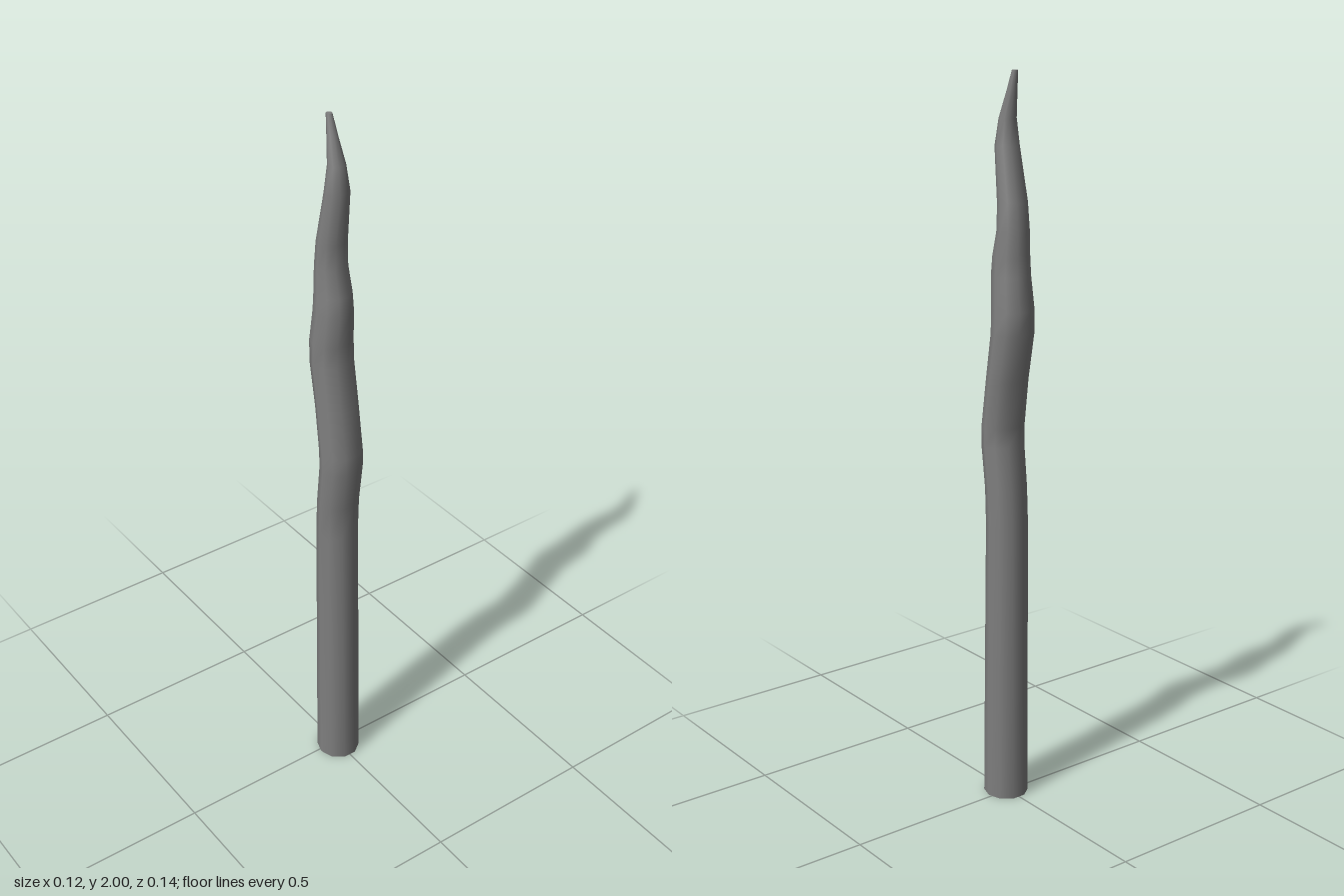
import * as THREE from 'three';

export function createModel() {
  const group = new THREE.Group();
  const sides = 10;
  // cross-sections: height, centre z, half width x, half depth z
  const rings = [
    [0, 0.01, 0.061, 0.063],
    [0.4, 0.008, 0.061, 0.056],
    [0.8, 0.005, 0.06, 0.051],
    [0.9, 0.009, 0.06, 0.05],
    [1.02, 0.023, 0.061, 0.051],
    [1.07, 0.022, 0.061, 0.051],
    [1.2, 0.004, 0.061, 0.048],
    [1.33, -0.019, 0.06, 0.052],
    [1.39, -0.02, 0.058, 0.054],
    [1.48, -0.012, 0.052, 0.052],
    [1.53, -0.013, 0.049, 0.049],
    [1.6, -0.021, 0.044, 0.04],
    [1.67, -0.018, 0.041, 0.037],
    [1.81, 0.004, 0.034, 0.029],
    [1.88, 0.002, 0.024, 0.021],
    [1.95, -0.016, 0.014, 0.013],
    [2, -0.028, 0.008, 0.008],
  ];

  // wavy tapering shaft, open at the base
  const shaft = new THREE.CylinderGeometry(1, 1, 1, sides, rings.length - 1, true);
  const pos = shaft.attributes.position;
  for (let i = 0; i < pos.count; i++) {
    const ring = rings.length - 1 - Math.floor(i / (sides + 1));
    const angle = ((i % (sides + 1)) / sides) * Math.PI * 2;
    const [y, cz, rx, rz] = rings[ring];
    pos.setXYZ(i, rx * Math.cos(angle), y, cz - rz * Math.sin(angle));
  }
  shaft.computeVertexNormals();
  // match normals across the seam
  const n = shaft.attributes.normal;
  for (let r = 0; r < rings.length; r++) {
    const a = r * (sides + 1), b = a + sides;
    const v = new THREE.Vector3().fromBufferAttribute(n, a)
      .add(new THREE.Vector3().fromBufferAttribute(n, b)).normalize();
    n.setXYZ(a, v.x, v.y, v.z);
    n.setXYZ(b, v.x, v.y, v.z);
  }

  const material = new THREE.MeshStandardMaterial({ color: 0x7f7f7f, side: THREE.DoubleSide });
  const shaftMesh = new THREE.Mesh(shaft, material);
  shaftMesh.name = 'wavyShaft';
  group.add(shaftMesh);

  // small flat tip
  const tip = new THREE.Mesh(new THREE.CircleGeometry(0.008, sides), material);
  tip.rotation.x = -Math.PI / 2;
  tip.position.set(0, 2, -0.028);
  tip.name = 'tip';
  group.add(tip);
  return group;
}
